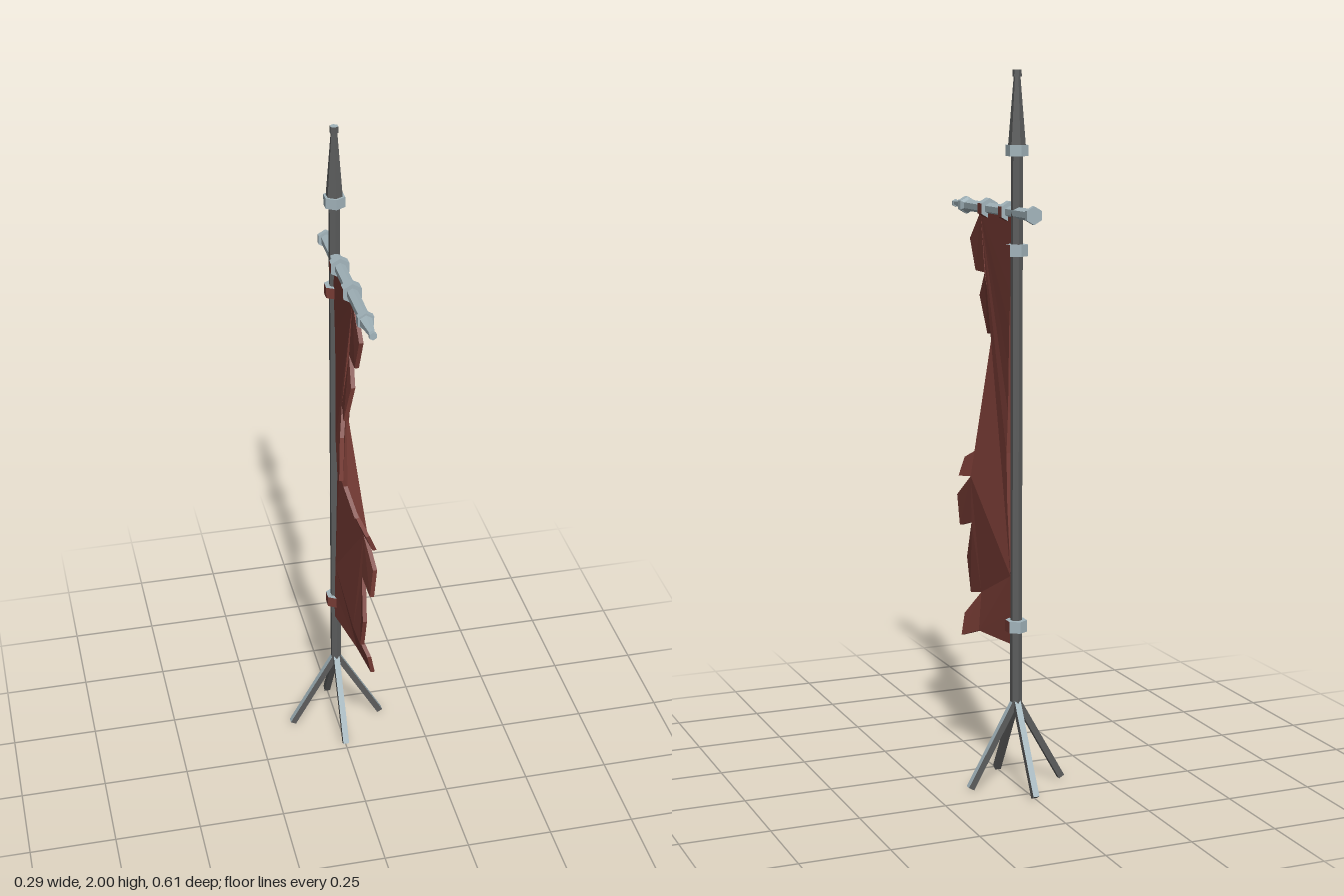
import * as THREE from 'three';

const mat = (name, color) => new THREE.MeshStandardMaterial({ name, color, flatShading: true });

export function createModel() {
  const steel = mat('light steel', 0xa3b5bc);
  const iron = mat('dark iron', 0x5c5d5d);
  const cloth = mat('red cloth', 0x783c35);
  const model = new THREE.Group();
  const poleZ = -0.157, barY = 1.617;

  const add = (parent, name, geometry, material) => {
    const mesh = new THREE.Mesh(geometry, material);
    mesh.name = name;
    parent.add(mesh);
    return mesh;
  };

  // Six-sided section running from a to b along the parent's y axis
  const hex = (parent, name, a, b, rA, rB, material) => {
    const mesh = add(parent, name, new THREE.CylinderGeometry(rB, rA, b - a, 6), material);
    mesh.position.y = (a + b) / 2;
    return mesh;
  };

  // Ring with steel caps and back, and cloth on the four sides nearest the banner
  const tieRing = (parent, name, a, b, r, turn) => {
    const ring = new THREE.Group();
    ring.name = name;
    const h = b - a, step = Math.PI / 3;
    add(ring, 'ringCloth', new THREE.CylinderGeometry(r, r, h, 4, 1, true, -2 * step, 4 * step), cloth);
    add(ring, 'ringBack', new THREE.CylinderGeometry(r, r, h, 2, 1, true, 2 * step, 2 * step), steel);
    [1, -1].forEach((s) => {
      const cap = add(ring, 'ringCap', new THREE.CircleGeometry(r, 6, Math.PI / 2), steel);
      cap.rotation.x = -s * Math.PI / 2;
      cap.position.y = s * h / 2;
    });
    ring.position.y = (a + b) / 2;
    ring.rotation.y = turn;
    parent.add(ring);
  };

  // Upright pole with spear point
  const pole = new THREE.Group();
  pole.name = 'pole';
  pole.position.z = poleZ;
  model.add(pole);
  hex(pole, 'shaft', 0.235, 1.78, 0.0165, 0.0165, iron);
  hex(pole, 'spearCollar', 1.77, 1.8, 0.031, 0.031, steel);
  hex(pole, 'spearPoint', 1.8, 1.985, 0.024, 0.009, iron);
  hex(pole, 'spearTip', 1.982, 2, 0.013, 0.012, [iron, steel, iron]);
  tieRing(pole, 'upperPoleRing', 1.5, 1.532, 0.031, 0);
  tieRing(pole, 'lowerPoleRing', 0.447, 0.48, 0.031, 0);

  // Four splayed legs, paler on the upper face
  const lean = Math.atan2(0.139, 0.2456), length = 0.282;
  for (let i = 0; i < 4; i++) {
    const leg = new THREE.Group();
    leg.name = 'leg';
    const bar = add(leg, 'legBar', new THREE.BoxGeometry(0.018, length, 0.018),
      [steel, iron, iron, iron, iron, iron]);
    bar.rotation.z = lean;
    bar.position.set(0.0695, 0.1272, 0);
    leg.rotation.y = i * Math.PI / 2;
    pole.add(leg);
  }

  // Crossbar, modelled upright and laid along z
  const bar = new THREE.Group();
  bar.name = 'crossbar';
  bar.position.y = barY;
  bar.rotation.x = Math.PI / 2;
  model.add(bar);
  hex(bar, 'barShaft', -0.272, 0.2, 0.0165, 0.0165, steel);
  hex(bar, 'barEndCollar', -0.276, -0.262, 0.025, 0.025, steel);
  hex(bar, 'barFrontNeck', 0.193, 0.203, 0.0165, 0.024, steel);
  hex(bar, 'barFrontCollar', 0.203, 0.222, 0.025, 0.025, steel);
  hex(bar, 'barPoint', 0.222, 0.292, 0.019, 0.008, steel);
  hex(bar, 'barTip', 0.29, 0.302, 0.011, 0.011, steel);
  tieRing(bar, 'rearBarRing', -0.11, -0.085, 0.029, 0);
  tieRing(bar, 'frontBarRing', 0.035, 0.065, 0.029, 0);

  // Torn banner outline as [z, y]: ragged free edge, then the edge beside the pole
  const outline = [
    [0.09, 1.605], [0.17, 1.525], [0.143, 1.435], [0.07, 1.435], [0.127, 1.365], [0.11, 1.255],
    [0.05, 1.27], [0.1, 1.195], [0.127, 1.073], [0.075, 1.063], [0.07, 1.015], [0.133, 0.946],
    [0.075, 0.935], [0.153, 0.893], [0.148, 0.84], [0.08, 0.85], [0.164, 0.782], [0.164, 0.69],
    [0.09, 0.713], [0.153, 0.596], [0.127, 0.495], [0.06, 0.51], [0.117, 0.437], [0.11, 0.374],
    [0.03, 0.405], [-0.145, 0.405], [-0.142, 0.5], [-0.13, 0.6], [-0.122, 0.7], [-0.113, 0.8],
    [-0.1, 0.945], [-0.1, 1.06], [-0.106, 1.185], [-0.116, 1.3], [-0.127, 1.4], [-0.142, 1.53],
    [-0.135, 1.605],
  ];
  const shape = new THREE.Shape(outline.map(([z, y]) => new THREE.Vector2(-z, y)));
  const thick = 0.012;
  const flag = new THREE.ExtrudeGeometry(shape, { depth: thick, bevelEnabled: false });
  flag.translate(0, 0, -thick / 2).rotateY(Math.PI / 2);

  // Sideways sway by height, growing away from the pole
  const sway = [[0.37, 0.056], [0.44, 0.04], [0.5, 0.014], [0.6, 0.016], [0.7, 0.032], [0.85, 0.042],
    [0.94, 0], [1.07, -0.044], [1.2, -0.04], [1.36, -0.012], [1.5, 0], [1.7, 0]];
  const swayAt = (y) => {
    const i = Math.max(1, sway.findIndex(([h]) => h >= y));
    const [y0, a] = sway[i - 1], [y1, b] = sway[i];
    return a + (b - a) * (y - y0) / (y1 - y0);
  };
  const p = flag.attributes.position;
  for (let i = 0; i < p.count; i++) {
    const reach = Math.max(0, (p.getZ(i) + 0.13) / 0.25);
    p.setX(i, p.getX(i) + swayAt(p.getY(i)) * reach);
  }
  flag.computeVertexNormals();
  add(model, 'banner', flag, cloth);

  return model;
}
